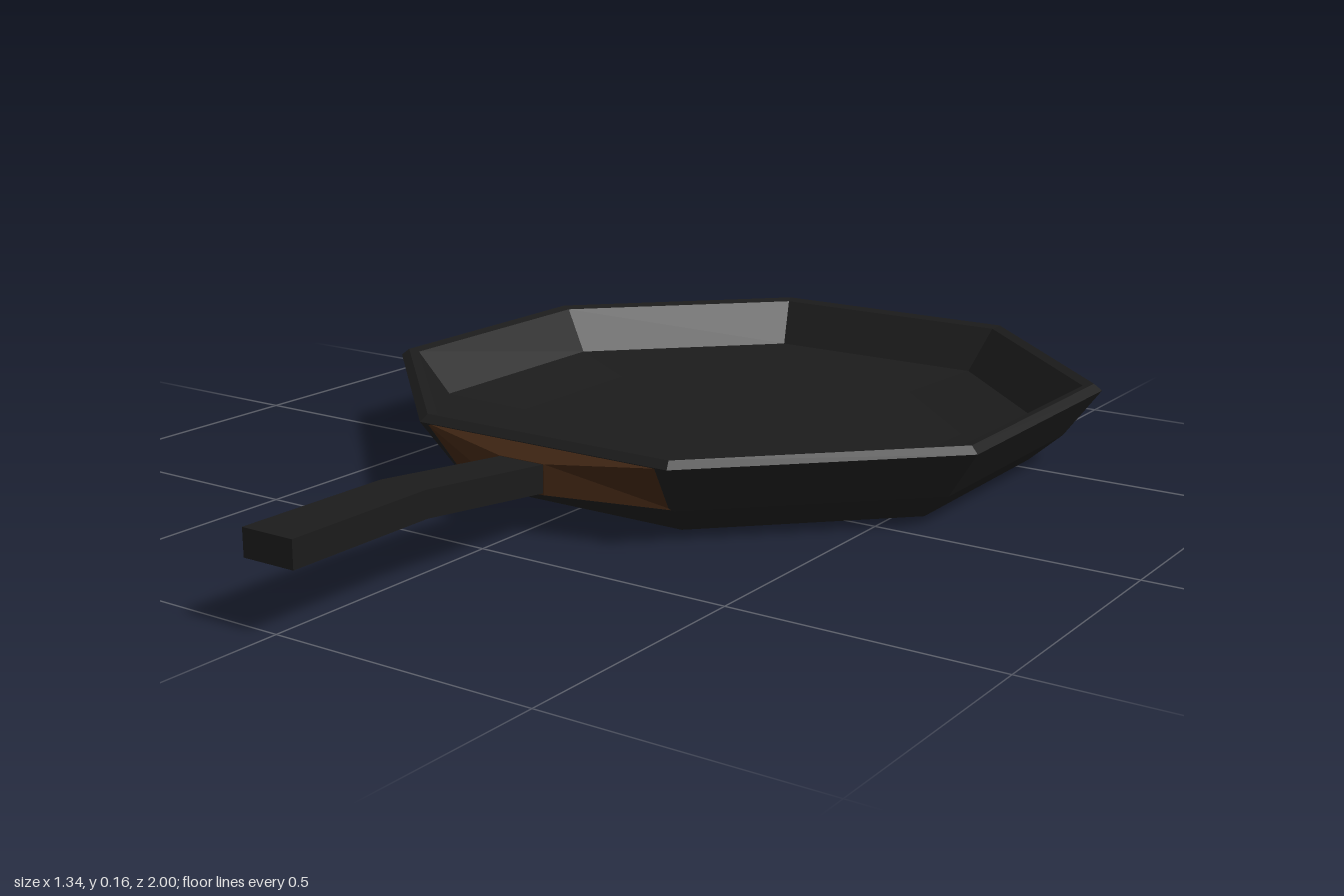
import * as THREE from 'three';

const iron = new THREE.MeshStandardMaterial({ color: 0x1b1b1b, flatShading: true });
const wood = new THREE.MeshStandardMaterial({ color: 0x3d2412, flatShading: true });

// Closed loft through four-cornered sections, ordered towards +z
function loft(sections) {
  const pos = [], idx = [];
  for (const { x = 0, bottom, top } of sections) {
    const [wb, yb, zb] = bottom, [wt, yt, zt] = top;
    pos.push(x - wb, yb, zb, x + wb, yb, zb, x + wt, yt, zt, x - wt, yt, zt);
  }
  for (let s = 0; s < sections.length - 1; s++) {
    for (let i = 0; i < 4; i++) {
      const a = s * 4 + i, b = s * 4 + (i + 1) % 4;
      idx.push(a, b, b + 4, a, b + 4, a + 4);
    }
  }
  const e = (sections.length - 1) * 4;
  idx.push(0, 2, 1, 0, 3, 2, e, e + 1, e + 2, e, e + 2, e + 3);
  const g = new THREE.BufferGeometry();
  g.setAttribute('position', new THREE.Float32BufferAttribute(pos, 3));
  g.setIndex(idx);
  const flat = g.toNonIndexed();
  flat.computeVertexNormals();
  return flat;
}

export function createModel() {
  const group = new THREE.Group();
  const add = (name, geometry, material) => {
    const mesh = new THREE.Mesh(geometry, material);
    mesh.name = name;
    group.add(mesh);
    return mesh;
  };

  // Octagonal pan: [flat-side distance, height], underside, wall, rim, inside
  const profile = [
    [0, 0], [0.545, 0], [0.605, 0.055], [0.67, 0.15], [0.655, 0.163],
    [0.635, 0.158], [0.575, 0.07], [0.42, 0.045], [0, 0.045],
  ].map(([d, y]) => new THREE.Vector2(d / Math.cos(Math.PI / 8), y));
  const bowl = new THREE.LatheGeometry(profile, 8, Math.PI / 8).toNonIndexed();
  bowl.computeVertexNormals();
  add('pan', bowl, iron).position.z = -0.33;

  // Tapered bracket joining the front wall to the handle
  add('handleBracket', loft([
    { bottom: [0.25, 0.055, 0.272], top: [0.27, 0.15, 0.335] },
    { x: -0.005, bottom: [0.05, 0.075, 0.382], top: [0.05, 0.132, 0.382] },
  ]), wood);

  // Handle rising, then levelling out
  add('handle', loft([
    { x: -0.005, bottom: [0.048, 0.077, 0.37], top: [0.048, 0.13, 0.37] },
    { x: -0.007, bottom: [0.05, 0.113, 0.69], top: [0.05, 0.163, 0.69] },
    { x: -0.009, bottom: [0.053, 0.113, 1], top: [0.053, 0.163, 1] },
  ]), iron);

  return group;
}
